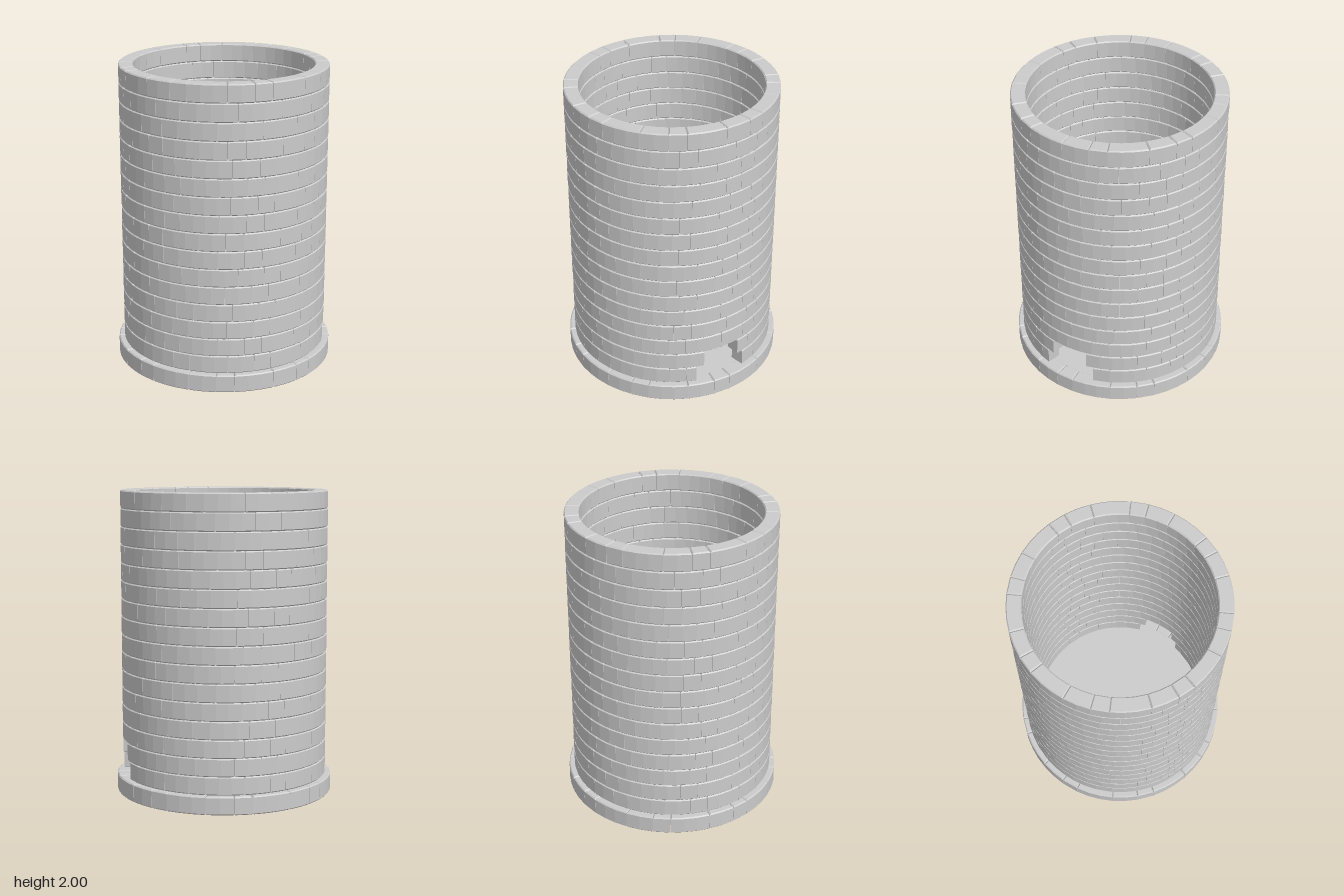
import * as THREE from 'three';
import { mergeGeometries } from 'three/addons/utils/BufferGeometryUtils.js';

const COURSES = 17;
const PITCH = 2 / COURSES;
const BEVEL = 0.007;
const DEG = Math.PI / 180;
// Medium, narrow and wide bricks repeat eight times around each course
const WIDTHS = [14.5, 9.5, 21];
// Rotation of each course in degrees, from the base upwards
const TURNS = [-19, 1.5, -4, 1, 4, 0, 7, -4, -14, -3, 3, -2.5, 4, -13, -4, 6.8, 1.2];
// Door span in degrees around +x for the courses it cuts
const DOOR = { 1: [-13.6, 14.5], 2: [-9.3, 12] };

// One bevelled brick following the arc from angle a to b (degrees)
function brick(inner, outer, a, b) {
  const ri = inner + BEVEL, ro = outer - BEVEL;
  const n = Math.max(1, Math.round((b - a) / 7));
  const pad = (BEVEL + 0.0006) / DEG;
  const points = [];
  for (const [r, from, to] of [[ro, a, b], [ri, b, a]]) {
    const s = Math.sign(to - from) * pad / r;
    for (let i = 0; i <= n; i++) {
      const t = THREE.MathUtils.lerp(from + s, to - s, i / n) * DEG;
      points.push(new THREE.Vector2(r * Math.cos(t), r * Math.sin(t)));
    }
  }
  const geometry = new THREE.ExtrudeGeometry(new THREE.Shape(points), {
    depth: PITCH - 2 * BEVEL, bevelEnabled: true, bevelSegments: 1,
    bevelSize: BEVEL, bevelThickness: BEVEL,
  });
  return geometry.translate(0, 0, BEVEL).rotateX(-Math.PI / 2);
}

// A full ring of bricks, trimmed where the door passes through
function course(row) {
  const [inner, outer] = row === 0 ? [0.622, 0.718] : [0.587, 0.681];
  const door = DOOR[row];
  const parts = [];
  let a = TURNS[row] - 180;
  for (let i = 0; i < 24; i++) {
    const b = a + WIDTHS[i % 3];
    const spans = door
      ? [[a, Math.min(b, door[0])], [Math.max(a, door[1]), b]]
      : [[a, b]];
    for (const [s, e] of spans) if (e - s > 2) parts.push(brick(inner, outer, s, e));
    a = b;
  }
  return mergeGeometries(parts).translate(0, row * PITCH, 0);
}

export function createModel() {
  const model = new THREE.Group();
  model.name = 'brickTower';
  const material = new THREE.MeshStandardMaterial({ color: 0xcccccc });

  // Base ring and wall courses
  for (let row = 0; row < COURSES; row++) {
    const mesh = new THREE.Mesh(course(row), material);
    mesh.name = row === 0 ? 'baseCourse' : `wallCourse${row}`;
    model.add(mesh);
  }

  // Floor slab inside the base ring
  const floor = new THREE.Mesh(new THREE.CylinderGeometry(0.625, 0.625, PITCH - 0.004, 64), material);
  floor.name = 'floor';
  floor.position.y = PITCH / 2 - 0.002;
  model.add(floor);

  return model;
}
